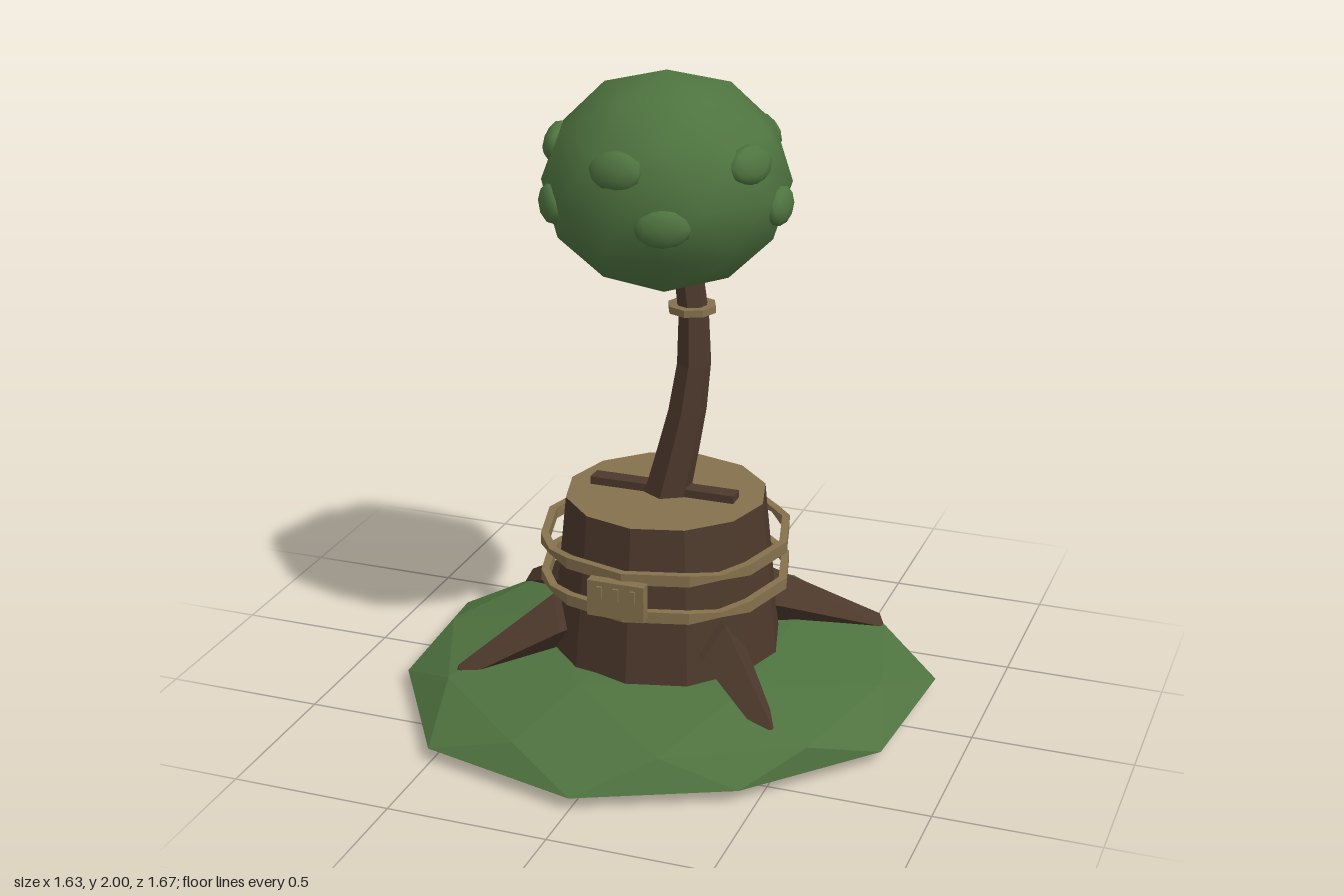
import * as THREE from 'three';

const mat = (name, color, side = THREE.FrontSide) =>
  Object.assign(new THREE.MeshStandardMaterial({ color, side }), { name });

// Non-indexed copy with one normal per face
function flat(geo) {
  const g = geo.index ? geo.toNonIndexed() : geo;
  g.computeVertexNormals();
  return g;
}

// Skin through cross-sections that run counter-clockwise about the travel direction
function loft(rings, closed = false) {
  const pos = [];
  const n = rings[0].length;
  const tri = (...pts) => pts.forEach((p) => pos.push(p.x, p.y, p.z));
  const count = closed ? rings.length : rings.length - 1;
  for (let i = 0; i < count; i++) {
    const a = rings[i], b = rings[(i + 1) % rings.length];
    for (let j = 0; j < n; j++) {
      const k = (j + 1) % n;
      tri(a[j], a[k], b[k]);
      tri(a[j], b[k], b[j]);
    }
  }
  if (!closed) {
    const s = rings[0], e = rings[rings.length - 1];
    for (let j = 1; j < n - 1; j++) {
      tri(s[0], s[j + 1], s[j]);
      tri(e[0], e[j], e[j + 1]);
    }
  }
  const g = new THREE.BufferGeometry();
  g.setAttribute('position', new THREE.Float32BufferAttribute(pos, 3));
  g.computeVertexNormals();
  return g;
}

// Elliptical cross-section around c, in the plane of e1 and e2
function section(c, e1, e2, r1, r2, sides) {
  return Array.from({ length: sides }, (_, j) => {
    const a = (j / sides) * Math.PI * 2;
    return c.clone().addScaledVector(e1, r1 * Math.cos(a)).addScaledVector(e2, r2 * Math.sin(a));
  });
}

// Rectangular hoop; steps are [degrees, half height]
function hoop(cx, cy, cz, inner, outer, steps) {
  return loft(steps.map(([deg, h]) => {
    const a = THREE.MathUtils.degToRad(deg), s = Math.sin(a), c = Math.cos(a);
    return [[-h, inner], [h, inner], [h, outer], [-h, outer]].map(
      ([y, r]) => new THREE.Vector3(cx + s * r, cy + y, cz + c * r));
  }), true);
}

// Icosphere with a vertex pointing straight up
const poleSphere = () => new THREE.IcosahedronGeometry(1, 1).rotateZ(Math.atan(2 / (1 + Math.sqrt(5))));

// Upper half of an icosphere with an uneven rim
function moundGeometry() {
  const rim = [0.819, 0.766, 0.83, 0.866, 0.829, 0.859, 0.866, 0.84, 0.796, 0.859];
  const p = poleSphere().attributes.position;
  const pos = [];
  for (let i = 0; i < p.count; i += 3) {
    if (p.getY(i) + p.getY(i + 1) + p.getY(i + 2) < 0.01) continue;
    for (let k = i; k < i + 3; k++) {
      const x = p.getX(k), y = p.getY(k), z = p.getZ(k);
      const turn = Math.round((Math.atan2(z, x) * 180 / Math.PI - 18) / 36);
      const r = y < 0.01 ? rim[(turn + 10) % 10] : 0.83;
      pos.push(x * r, 0.04 + Math.max(y, 0) * 0.17, z * r);
    }
  }
  const g = new THREE.BufferGeometry();
  g.setAttribute('position', new THREE.Float32BufferAttribute(pos, 3));
  g.computeVertexNormals();
  return g;
}

export function createModel() {
  const group = new THREE.Group();
  const grass = mat('grass green', 0x4f7340, THREE.DoubleSide);
  const leaf = mat('leaf green', 0x4f7440);
  const bark = mat('bark brown', 0x4d392c, THREE.DoubleSide);
  const wood = mat('cut wood tan', 0x85714c);
  const V = (x, y, z) => new THREE.Vector3(x, y, z);
  const up = V(0, 1, 0);

  const add = (name, geo, material, parent = group) => {
    const m = new THREE.Mesh(geo, material);
    m.name = name;
    parent.add(m);
    return m;
  };
  const box = (name, w, h, d, x, y, z, material) =>
    add(name, new THREE.BoxGeometry(w, h, d).translate(x, y, z), material);

  // Ground
  add('mound', moundGeometry(), grass);

  // Stump with a pale cut top and a plank across it
  add('stump', flat(new THREE.CylinderGeometry(0.315, 0.37, 0.55, 12, 1, true).translate(0, 0.405, 0)), bark);
  add('stumpTop', new THREE.CircleGeometry(0.315, 12).rotateX(-Math.PI / 2).translate(0, 0.68, 0), wood);
  box('topPlank', 0.47, 0.03, 0.055, -0.005, 0.69, 0.005, bark);

  // Roots run down the stump and dip under the ground at the tip
  const tips = [[-0.62, -0.375], [0.58, -0.445], [-0.56, 0.36], [0.48, 0.405]];
  for (const [x, z] of tips) {
    const d = V(x, 0, z), reach = d.length();
    d.normalize();
    const side = d.clone().cross(up);
    const stations = [
      [0.25, 0.30, 0.11, 0.085],
      [0.36, 0.265, 0.10, 0.08],
      [reach, 0.115, 0.035, 0.03],
      [reach + 0.04, 0.02, 0.02, 0.02],
    ];
    add('root', loft(stations.map(([r, y, h, w]) =>
      section(d.clone().multiplyScalar(r).setY(y), up, side, h, w, 4))), bark);
  }

  // Two hoops around the stump, pinched at the diagonals
  const steps = [];
  for (let q = 0; q < 360; q += 90) {
    steps.push([q, 0.018], [q + 30, 0.018], [q + 45, 0.008], [q + 60, 0.018]);
  }
  for (const y of [0.425, 0.548]) {
    add('stumpHoop', hoop(0, y, 0, 0.37, 0.395, steps), wood);
  }

  // Front plate with three raised pegs
  box('frontPlate', 0.18, 0.115, 0.035, -0.01, 0.485, 0.402, wood);
  for (const x of [-0.06, -0.007, 0.046]) {
    box('platePeg', 0.016, 0.04, 0.012, x, 0.507, 0.422, wood);
  }

  // Curved trunk
  const trunk = [
    [0, 0.66, 0, 0.075],
    [0.03, 0.8, -0.012, 0.068],
    [0.06, 0.95, -0.025, 0.06],
    [0.077, 1.1, -0.036, 0.053],
    [0.073, 1.25, -0.043, 0.047],
    [0.05, 1.42, -0.046, 0.044],
  ];
  add('trunk', loft(trunk.map(([x, y, z, r]) =>
    section(V(x, y, z), V(0, 0, 1), V(1, 0, 0), r, r, 6))), bark);
  const collarSteps = Array.from({ length: 8 }, (_, i) => [i * 45, 0.011]);
  add('trunkCollar', hoop(0.067, 1.275, -0.045, 0.048, 0.076, collarSteps), wood);

  // Crown with two staggered rows of leaf tufts
  const crown = new THREE.Group();
  crown.name = 'crown';
  crown.position.set(-0.015, 1.665, -0.045);
  group.add(crown);
  add('foliage', poleSphere().scale(0.375, 0.335, 0.385), leaf, crown);
  for (let k = 0; k < 5; k++) {
    for (const [deg, y, r] of [[-6, 0.11, 0.335], [18, -0.045, 0.355]]) {
      const a = THREE.MathUtils.degToRad(deg + 72 * k);
      const tuft = add('leafTuft', poleSphere().scale(0.085, 0.06, 0.035), leaf, crown);
      tuft.position.set(Math.sin(a) * r, y, Math.cos(a) * r);
      tuft.rotation.set(y > 0 ? -0.3 : 0, a, 0, 'YXZ');
    }
  }
  return group;
}
